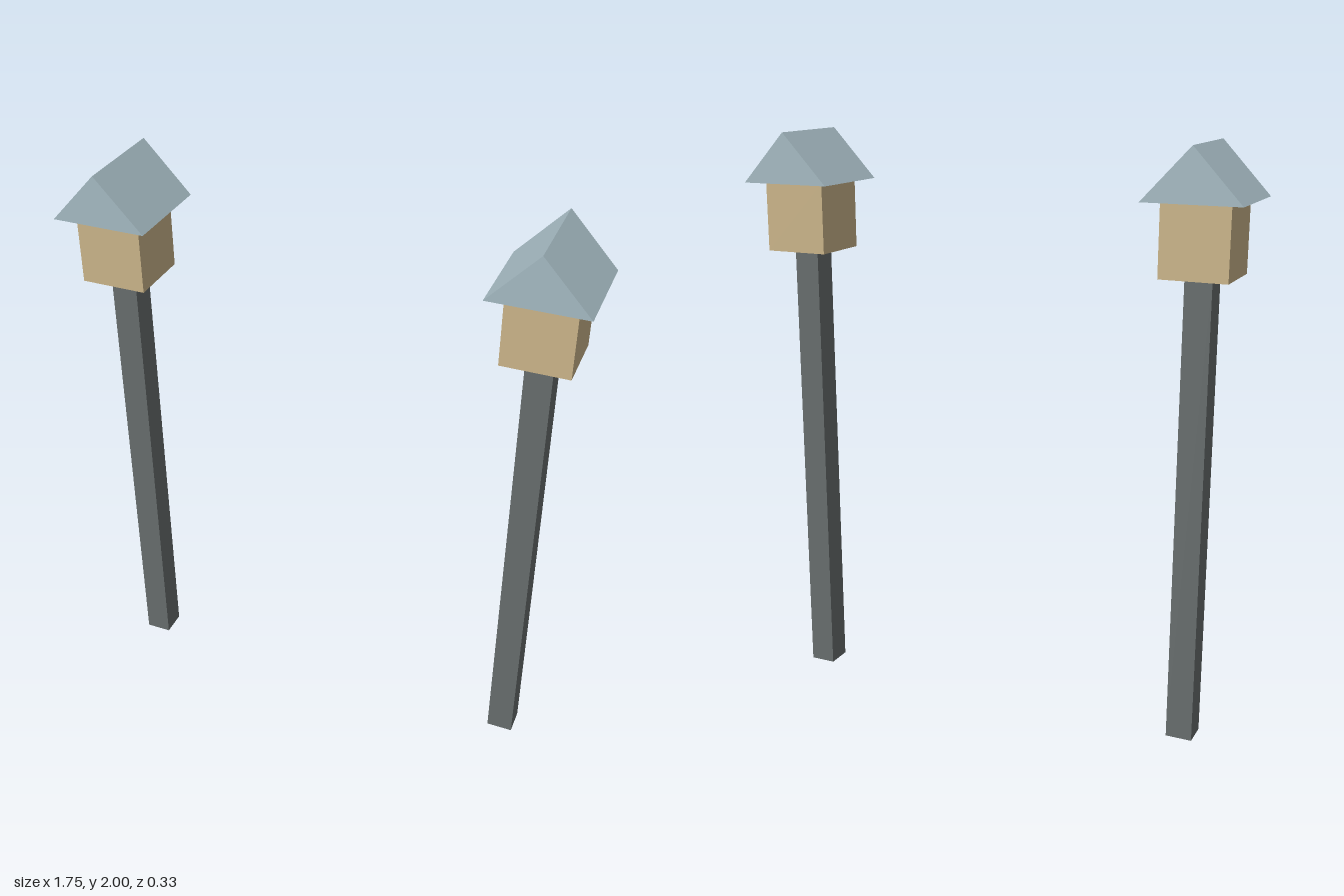
import * as THREE from 'three';

const mat = (name, color) => {
  const m = new THREE.MeshStandardMaterial({ color });
  m.name = name;
  return m;
};

export function createModel() {
  const model = new THREE.Group();
  model.name = 'birdhousePosts';
  const postGrey = mat('postGrey', 0x676d6d);
  const tanWood = mat('tanWood', 0xcab489);
  const roofBlue = mat('roofBlue', 0xa5bac2);

  const POST_TOP = 1.588, EAVES = 1.827, RIDGE = 2;
  const ROOF_W = 0.322, ROOF_D = 0.332;

  // Post and house body
  const postGeo = new THREE.BoxGeometry(0.09, POST_TOP, 0.09).translate(0, POST_TOP / 2, 0);
  const bodyGeo = new THREE.BoxGeometry(0.224, EAVES - POST_TOP, 0.22)
    .translate(0, (POST_TOP + EAVES) / 2, 0);

  // Gabled roof: a triangular prism along z
  const gable = new THREE.Shape([
    new THREE.Vector2(-ROOF_W / 2, EAVES),
    new THREE.Vector2(ROOF_W / 2, EAVES),
    new THREE.Vector2(0, RIDGE),
  ]);
  const roofGeo = new THREE.ExtrudeGeometry(gable, { depth: ROOF_D, bevelEnabled: false })
    .translate(0, 0, -ROOF_D / 2);

  // One birdhouse on each side
  for (const [side, x] of [['left', 0.713], ['right', -0.713]]) {
    const house = new THREE.Group();
    house.name = side + 'Birdhouse';
    house.position.x = x;
    for (const [name, geo, material] of [
      ['post', postGeo, postGrey],
      ['houseBody', bodyGeo, tanWood],
      ['roof', roofGeo, roofBlue],
    ]) {
      const mesh = new THREE.Mesh(geo, material);
      mesh.name = name;
      house.add(mesh);
    }
    model.add(house);
  }
  return model;
}
